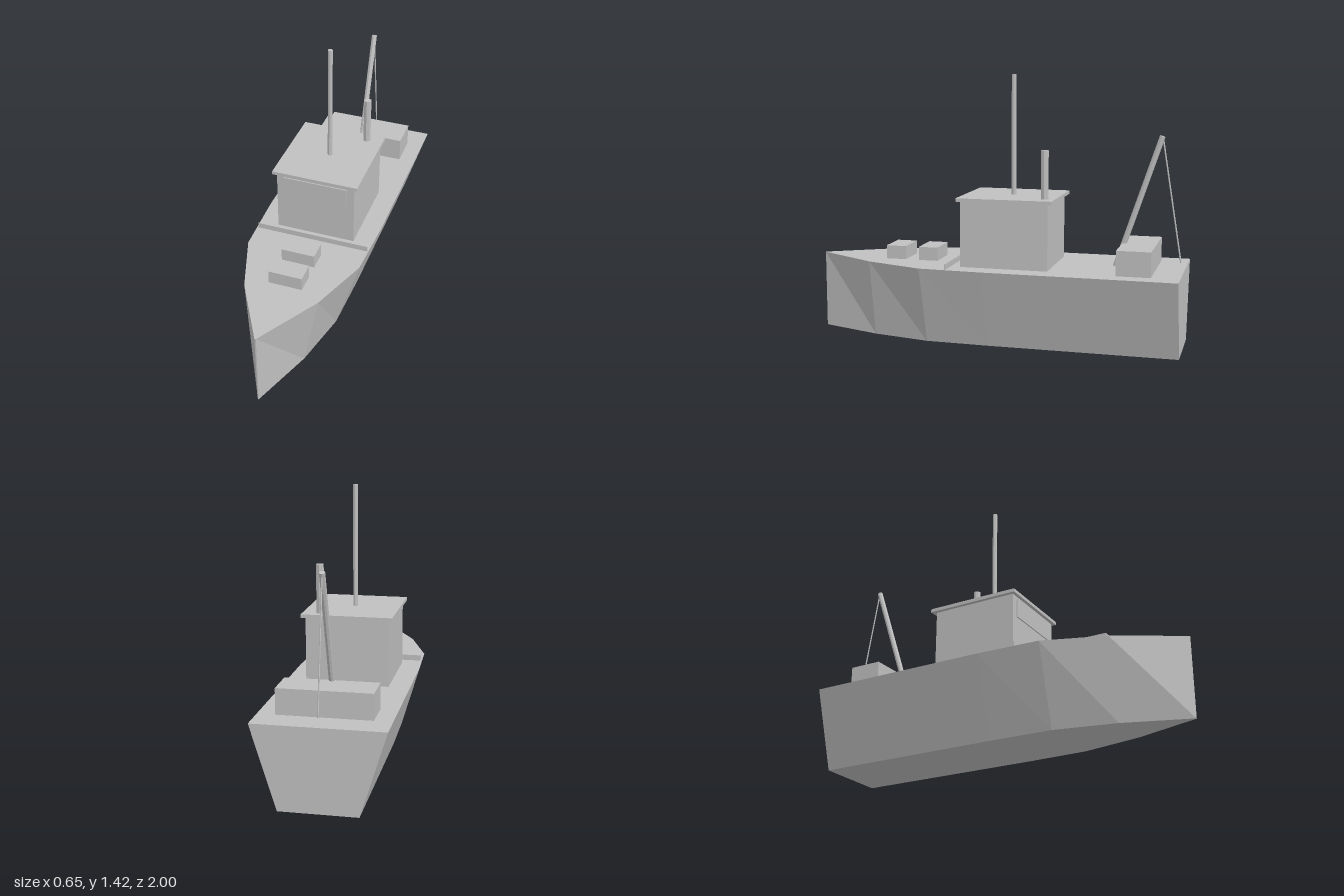
import * as THREE from 'three';

export function createModel() {
  const ship = new THREE.Group();
  ship.name = 'ship';
  const grey = new THREE.MeshStandardMaterial({ color: 0xc0c0c0 });
  grey.name = 'hull grey';
  const deckY = 0.42, roofY = 0.785;

  function add(name, geometry) {
    const mesh = new THREE.Mesh(geometry, grey);
    mesh.name = name;
    ship.add(mesh);
    return mesh;
  }

  // Box given by its extents
  function box(name, x0, x1, y0, y1, z0, z1) {
    add(name, new THREE.BoxGeometry(x1 - x0, y1 - y0, z1 - z0))
      .position.set((x0 + x1) / 2, (y0 + y1) / 2, (z0 + z1) / 2);
  }

  // Flat-sided round bar between two points
  function bar(name, from, to, radius, sides = 8) {
    const a = new THREE.Vector3(...from), b = new THREE.Vector3(...to);
    const dir = b.clone().sub(a);
    const geometry = new THREE.CylinderGeometry(radius, radius, dir.length(), sides).toNonIndexed();
    geometry.computeVertexNormals();
    const mesh = add(name, geometry);
    mesh.position.copy(a).add(b).multiplyScalar(0.5);
    mesh.quaternion.setFromUnitVectors(new THREE.Vector3(0, 1, 0), dir.normalize());
  }

  // Hull: [z, deck half width]; the keel plan is the deck plan at 0.6 scale
  const stations = [[-1, 0.325], [0, 0.325], [0.34, 0.312], [0.66, 0.2], [1, 0.004]];
  const sections = stations.map(([z, w]) => [
    [-0.6 * w, 0, z], [0.6 * w, 0, z], [w, deckY, z], [-w, deckY, z],
  ]);
  const points = [];
  const quad = (a, b, c, d) => points.push(...a, ...b, ...c, ...a, ...c, ...d);
  for (let i = 0; i < sections.length - 1; i++) {
    const s = sections[i], t = sections[i + 1];
    for (let k = 0; k < 4; k++) {
      const n = (k + 1) % 4;
      quad(s[k], s[n], t[n], t[k]);
    }
  }
  quad(...sections[sections.length - 1]);
  quad(...[...sections[0]].reverse());
  const hull = new THREE.BufferGeometry();
  hull.setAttribute('position', new THREE.Float32BufferAttribute(points, 3));
  hull.computeVertexNormals();
  add('hull', hull);

  // Wheelhouse with overhanging roof and front window band
  box('wheelhouse', -0.215, 0.215, deckY, 0.767, -0.323, 0.143);
  box('roof', -0.235, 0.235, 0.767, roofY, -0.347, 0.161);
  box('windowBand', -0.175, 0.175, 0.65, 0.75, 0.143, 0.149);

  // Foredeck
  box('breakwater', -0.31, 0.31, deckY, 0.45, 0.195, 0.201);
  for (const [z0, z1] of [[0.31, 0.415], [0.49, 0.6]]) {
    box('foreHatch', -0.09, 0.09, deckY, 0.492, z0, z1);
  }

  // Aft deck
  box('aftHatch', -0.235, 0.235, deckY, 0.55, -0.855, -0.678);
  bar('boom', [0, deckY + 0.005, -0.643], [0, 1.11, -0.873], 0.015);
  bar('boomCable', [0, 1.1, -0.876], [0, 0.46, -0.98], 0.004, 6);

  // Roof fittings
  bar('mast', [0, roofY, -0.092], [0, 1.42, -0.092], 0.013);
  bar('funnel', [0.145, roofY, -0.292], [0.145, 1.037, -0.292], 0.02);

  return ship;
}
